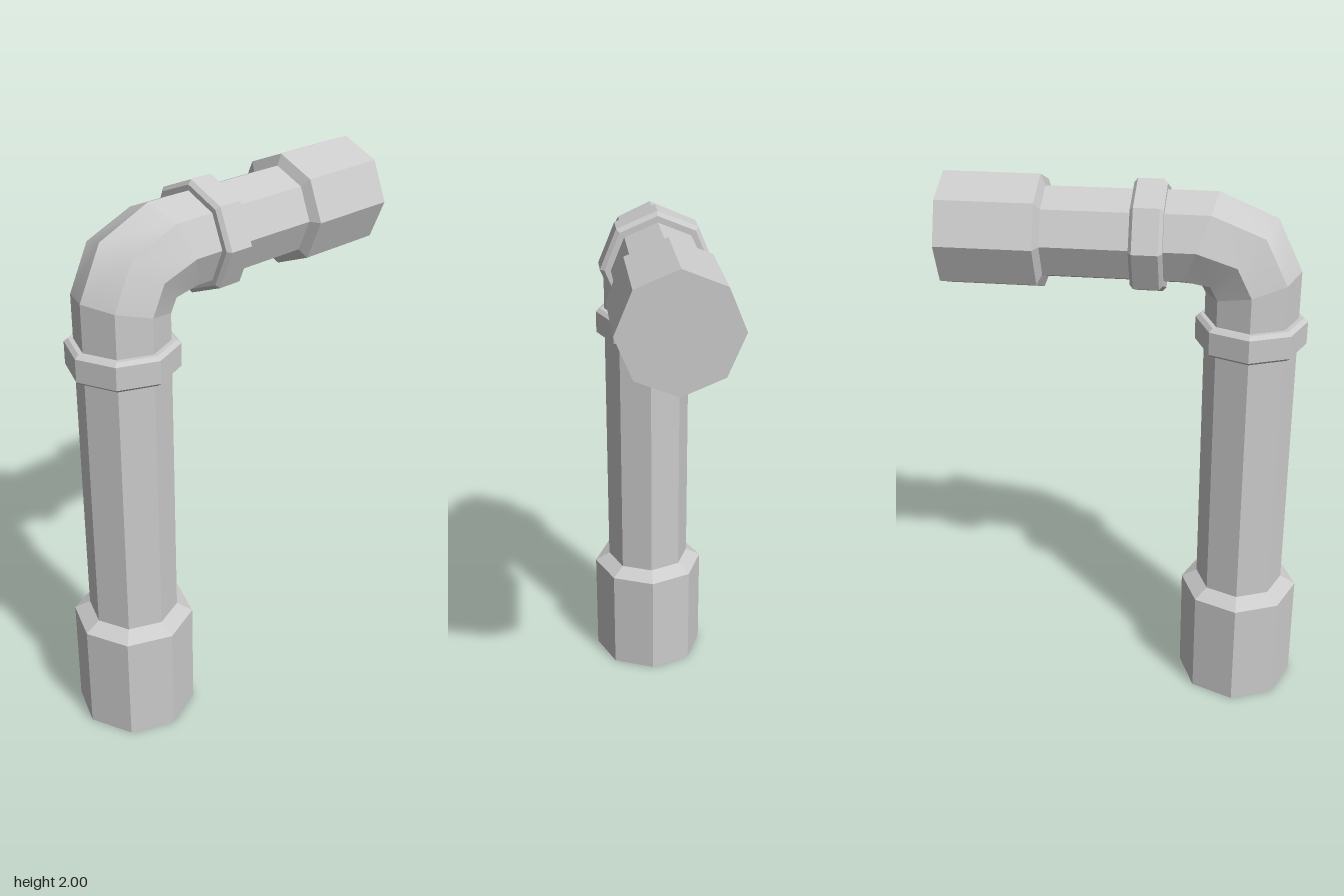
import * as THREE from 'three';

const SIDES = 8, R = 0.163, AXIS_Z = 0.42, AXIS_Y = 1.8;
const flat = new THREE.MeshStandardMaterial({ color: 0xcccccc, flatShading: true });
const smooth = new THREE.MeshStandardMaterial({ color: 0xcccccc });

// Octagonal turned part; profile is [radius, position along the axis]
function turned(name, profile, horizontal) {
  const pts = profile.map(([r, h]) => new THREE.Vector2(r, h));
  const mesh = new THREE.Mesh(new THREE.LatheGeometry(pts, SIDES), flat);
  mesh.name = name;
  if (horizontal) {
    mesh.rotation.x = Math.PI / 2;
    mesh.position.y = AXIS_Y;
  } else {
    mesh.position.z = AXIS_Z;
  }
  return mesh;
}

// Tube through tilted octagons, each given by its outermost and innermost [z, y].
// Every side is its own strip: smooth along the bend, sharp between sides.
function bentTube(name, rings, material) {
  const pos = [], index = [];
  const corner = ([outer, inner], k) => {
    const a = (k / SIDES) * Math.PI * 2, t = (1 + Math.cos(a)) / 2;
    return [R * Math.sin(a),
      inner[1] + (outer[1] - inner[1]) * t,
      inner[0] + (outer[0] - inner[0]) * t];
  };
  for (let k = 0; k < SIDES; k++) {
    const start = pos.length / 3;
    rings.forEach((ring) => pos.push(...corner(ring, k), ...corner(ring, k + 1)));
    for (let i = 0; i < rings.length - 1; i++) {
      const a = start + i * 2;
      index.push(a, a + 1, a + 3, a, a + 3, a + 2);
    }
  }
  const geo = new THREE.BufferGeometry();
  geo.setAttribute('position', new THREE.Float32BufferAttribute(pos, 3));
  geo.setIndex(index);
  geo.computeVertexNormals();
  const mesh = new THREE.Mesh(geo, material);
  mesh.name = name;
  return mesh;
}

// Chamfered ring around the pipe
const collar = (name, from, to, r, horizontal) => turned(name, [
  [R - 0.01, from], [r - 0.015, from], [r, from + 0.012],
  [r, to - 0.012], [r - 0.015, to], [R - 0.01, to],
], horizontal);

export function createModel() {
  const group = new THREE.Group();

  // Upright pipe with its wide foot
  group.add(turned('uprightPipe', [
    [0, 0], [0.22, 0], [0.22, 0.413], [R, 0.445], [R, 1.48],
  ], false));
  group.add(collar('uprightCollar', 1.42, 1.526, 0.195, false));

  // Elbow: straight neck, two-step bend, straight neck
  const lower = [[AXIS_Z + R, 1.48], [AXIS_Z - R, 1.48]];
  const bend = [
    [[0.583, 1.695], [0.257, 1.607]],
    [[0.495, 1.878], [0.243, 1.632]],
    [[0.294, 1.963], [0.17, 1.637]],
  ];
  const upper = [[0.06, AXIS_Y + R], [0.06, AXIS_Y - R]];
  group.add(bentTube('elbowLowerNeck', [lower, bend[0]], flat));
  group.add(bentTube('elbowBend', bend, smooth));
  group.add(bentTube('elbowUpperNeck', [bend[2], upper], flat));

  // Level pipe with its wide end socket
  group.add(collar('levelCollar', 0.01, 0.122, 0.198, true));
  group.add(turned('levelPipe', [
    [0, -0.64], [0.2, -0.64], [0.2, -0.306], [R - 0.002, -0.29], [R - 0.002, 0.06],
  ], true));

  return group;
}
